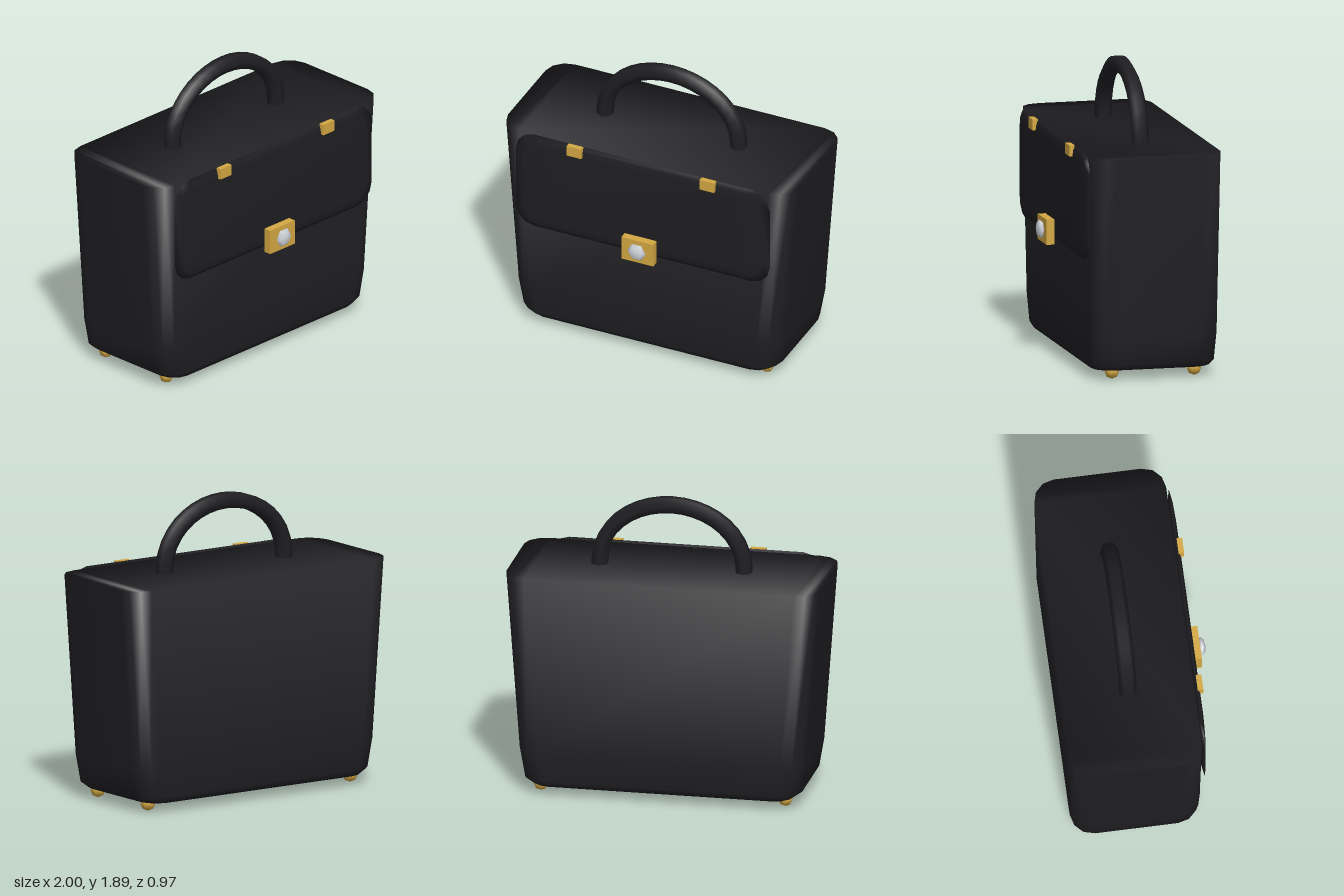
import * as THREE from 'three';

// Rounded rectangle, counter-clockwise, centred on (cx, cy)
function roundedRing(hw, hh, r, cx = 0, cy = 0, seg = 3) {
  const pts = [];
  [[1, 1], [-1, 1], [-1, -1], [1, -1]].forEach(([sx, sy], q) => {
    for (let i = 0; i <= seg; i++) {
      const a = (q + i / seg) * Math.PI / 2;
      pts.push([cx + sx * (hw - r) + r * Math.cos(a), cy + sy * (hh - r) + r * Math.sin(a)]);
    }
  });
  return pts;
}

// Smooth closed loft of rings stacked along +z
function loft(sections) {
  const n = sections[0].ring.length;
  const pos = [], index = [];
  sections.forEach(({ z, ring }) => ring.forEach(([x, y]) => pos.push(x, y, z)));
  for (let s = 0; s < sections.length - 1; s++) {
    for (let i = 0; i < n; i++) {
      const a = s * n + i, b = s * n + (i + 1) % n;
      index.push(a, b, b + n, a, b + n, a + n);
    }
  }
  const top = (sections.length - 1) * n;
  for (let k = 0; k < n / 2 - 1; k++) {
    const [a, b, c, d] = [k, k + 1, n - 2 - k, n - 1 - k];
    index.push(top + a, top + b, top + c, top + a, top + c, top + d);
    index.push(a, c, b, a, d, c);
  }
  const geo = new THREE.BufferGeometry();
  geo.setAttribute('position', new THREE.Float32BufferAttribute(pos, 3));
  geo.setIndex(index);
  geo.computeVertexNormals();
  return geo;
}

export function createModel() {
  const model = new THREE.Group();
  model.name = 'handbag';
  const leather = new THREE.MeshStandardMaterial({ color: 0x1f1f23 });
  const gold = new THREE.MeshStandardMaterial({ color: 0xd4a843 });
  const silver = new THREE.MeshStandardMaterial({ color: 0xd3d8e0 });

  const add = (name, geo, mat, x = 0, y = 0, z = 0) => {
    const mesh = new THREE.Mesh(geo, mat);
    mesh.name = name;
    mesh.position.set(x, y, z);
    model.add(mesh);
    return mesh;
  };

  // Body: height, half width, front z, back z, corner radius
  const body = loft([
    [0.06, 0.83, 0.315, -0.44, 0.12],
    [0.10, 0.885, 0.337, -0.467, 0.14],
    [0.28, 0.915, 0.347, -0.477, 0.14],
    [1.43, 1.0, 0.35, -0.48, 0.14],
  ].map(([y, hw, f, b, r]) => ({ z: y, ring: roundedRing(hw, (f - b) / 2, r, 0, -(f + b) / 2) })));
  body.rotateX(-Math.PI / 2);
  add('body', body, leather);

  // Front flap, thinning to its rim: z, inset in x, inset in y
  const flap = loft([
    [0.348, 0.17, 0.08],
    [0.355, 0.06, 0.03],
    [0.367, 0, 0],
    [0.379, 0.06, 0.03],
    [0.386, 0.17, 0.08],
  ].map(([z, ix, iy]) => ({ z, ring: roundedRing(0.875 - ix, 0.34 - iy, 0.13 - iy * 0.5, 0, 1.10) })));
  add('flap', flap, leather);

  // Arched handle, six-sided in section
  const arch = [new THREE.Vector3(0.46, 1.40, 0)];
  for (let i = 0; i <= 12; i++) {
    const a = i / 12 * Math.PI;
    arch.push(new THREE.Vector3(0.46 * Math.cos(a), 1.46 + 0.383 * Math.sin(a), 0));
  }
  arch.push(new THREE.Vector3(-0.46, 1.40, 0));
  add('handle', new THREE.TubeGeometry(new THREE.CatmullRomCurve3(arch), 20, 0.055, 6), leather, 0, 0, -0.065);

  // Metal tabs on the flap and feet under the body
  for (const [side, x] of [['left', 1], ['right', -1]]) {
    add(side + 'Tab', new THREE.BoxGeometry(0.1, 0.07, 0.035), gold, x * 0.458, 1.407, 0.387);
    for (const [end, z] of [['Front', 0.20], ['Back', -0.33]]) {
      const foot = new THREE.SphereGeometry(0.047, 6, 4).rotateY(Math.PI / 2);
      add(side + end + 'Foot', foot, gold, x * 0.78, 0.047, z);
    }
  }

  // Clasp
  add('claspPlate', new THREE.BoxGeometry(0.22, 0.16, 0.05), gold, 0, 0.82, 0.423);
  const knob = new THREE.SphereGeometry(0.0625, 6, 4).rotateX(Math.PI / 2).scale(1, 1, 0.4);
  add('claspKnob', knob, silver, 0, 0.823, 0.46);

  return model;
}
